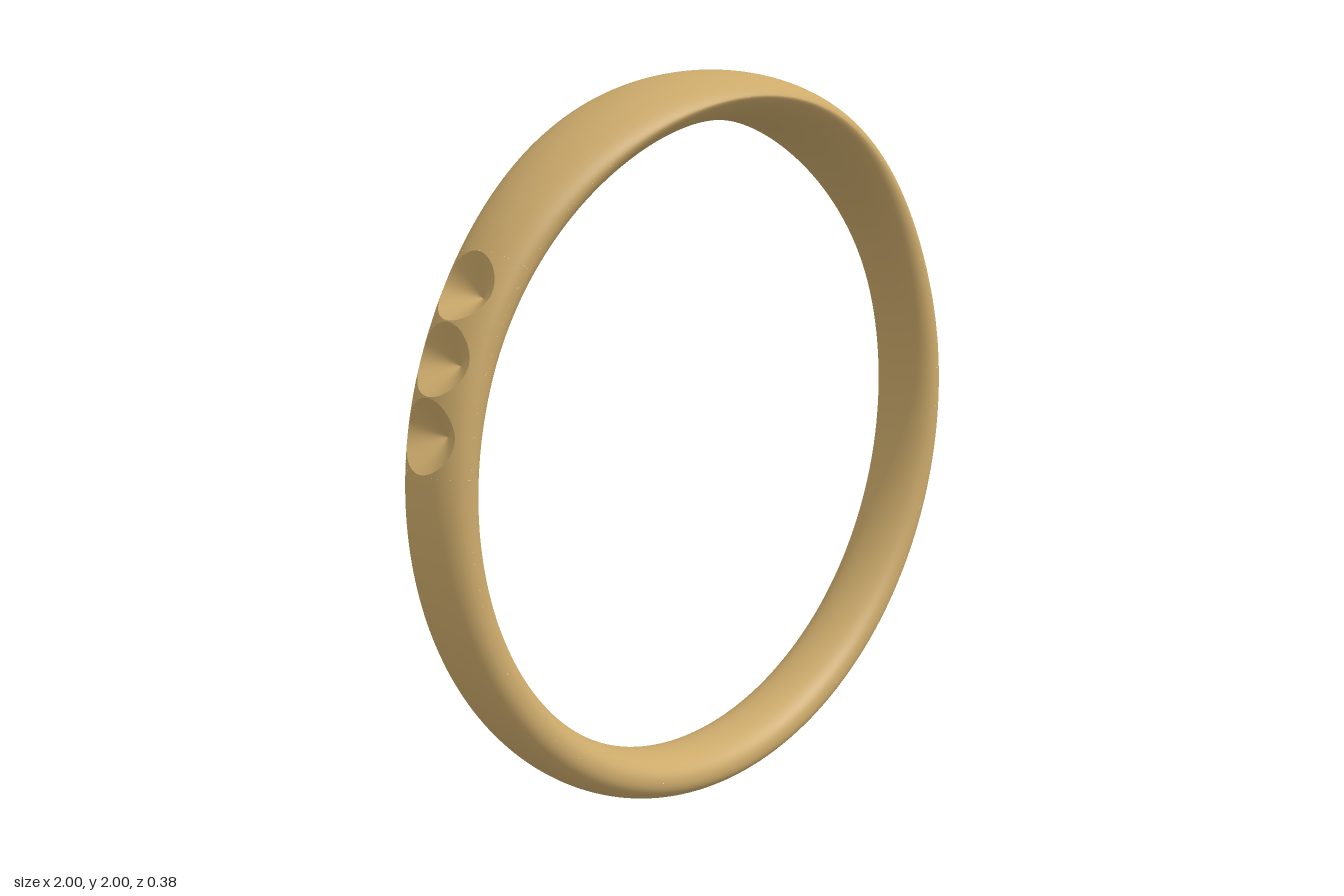
import * as THREE from 'three';
import { ParametricGeometry } from 'three/addons/geometries/ParametricGeometry.js';

const DEG = Math.PI / 180;
const MID = 0.935, HALF = 0.065;          // middle radius and half thickness of the band
const PITS = [58.6, 69, 79.4], PIT_HALF = 5.2; // pit centres and half spacing, degrees from the top

// 1 at the crown, easing to 0 where the plain shank begins
function crown(t) {
  const a = Math.acos(Math.cos(t));
  return a < 70 * DEG ? Math.cos(a * 9 / 7) ** 2 : 0;
}
const halfWidth = (t) => 0.105 + 0.085 * crown(t);

// Band surface: t runs round the ring from the top, u round the cross-section
function surface(u, t, target) {
  const power = 0.9 + 0.48 * crown(t), c = Math.cos(u);
  const r = MID + HALF * Math.sign(c) * Math.abs(c) ** power;
  return target.set(r * Math.sin(t), 1 + r * Math.cos(t), halfWidth(t) * Math.sin(u));
}

// Rim of a pit at polar angle a, as [u, t]
function rim(centre, a) {
  const t = centre + 0.0893 * Math.sin(a);
  return [Math.asin(0.086 * Math.cos(a) / halfWidth(t)), t];
}

export function createModel() {
  const ring = new THREE.Group();
  ring.name = 'ring';
  const gold = new THREE.MeshStandardMaterial({ color: 0xccaa6b });

  function add(parent, name, func, slices, stacks) {
    const mesh = new THREE.Mesh(new ParametricGeometry(func, slices, stacks), gold);
    mesh.name = name;
    parent.add(mesh);
  }
  function addBand(name, u0, u1, t0, t1, stacks) {
    add(ring, name, (p, q, target) =>
      surface((u0 + (u1 - u0) * p) * DEG, (t0 + (t1 - t0) * q) * DEG, target), 32, stacks);
  }

  // Inside of the band, then the outside above and below the pits
  const start = PITS[0] - PIT_HALF, end = PITS[2] + PIT_HALF;
  addBand('innerBand', 90, 270, -180, 180, 240);
  addBand('crown', -90, 90, -start, start, 80);
  addBand('shank', -90, 90, end, 360 - end, 140);

  // Three conical pits on each shoulder
  for (const side of [1, -1]) {
    const shoulder = new THREE.Group();
    shoulder.name = side > 0 ? 'leftShoulder' : 'rightShoulder';
    ring.add(shoulder);
    for (const angle of PITS) {
      const centre = side * angle * DEG;

      // Band surface between the round rim and its rectangular cell
      add(shoulder, 'pitSurround', (k, q, target) => {
        const a = q * 2 * Math.PI, c = Math.cos(a), s = Math.sin(a);
        const m = Math.max(Math.abs(c), Math.abs(s));
        const [u, t] = rim(centre, a);
        const edgeU = c / m * 90 * DEG, edgeT = centre + s / m * PIT_HALF * DEG;
        return surface(u + (edgeU - u) * k, t + (edgeT - t) * k, target);
      }, 12, 64);

      // Cone from the rim down to its tip
      const tip = new THREE.Vector3(0.925 * Math.sin(centre), 1 + 0.925 * Math.cos(centre), 0);
      add(shoulder, 'pit', (k, q, target) => {
        surface(...rim(centre, q * 2 * Math.PI), target);
        return target.lerp(tip, 0.998 * (1 - k));
      }, 8, 64);
    }
  }
  return ring;
}
